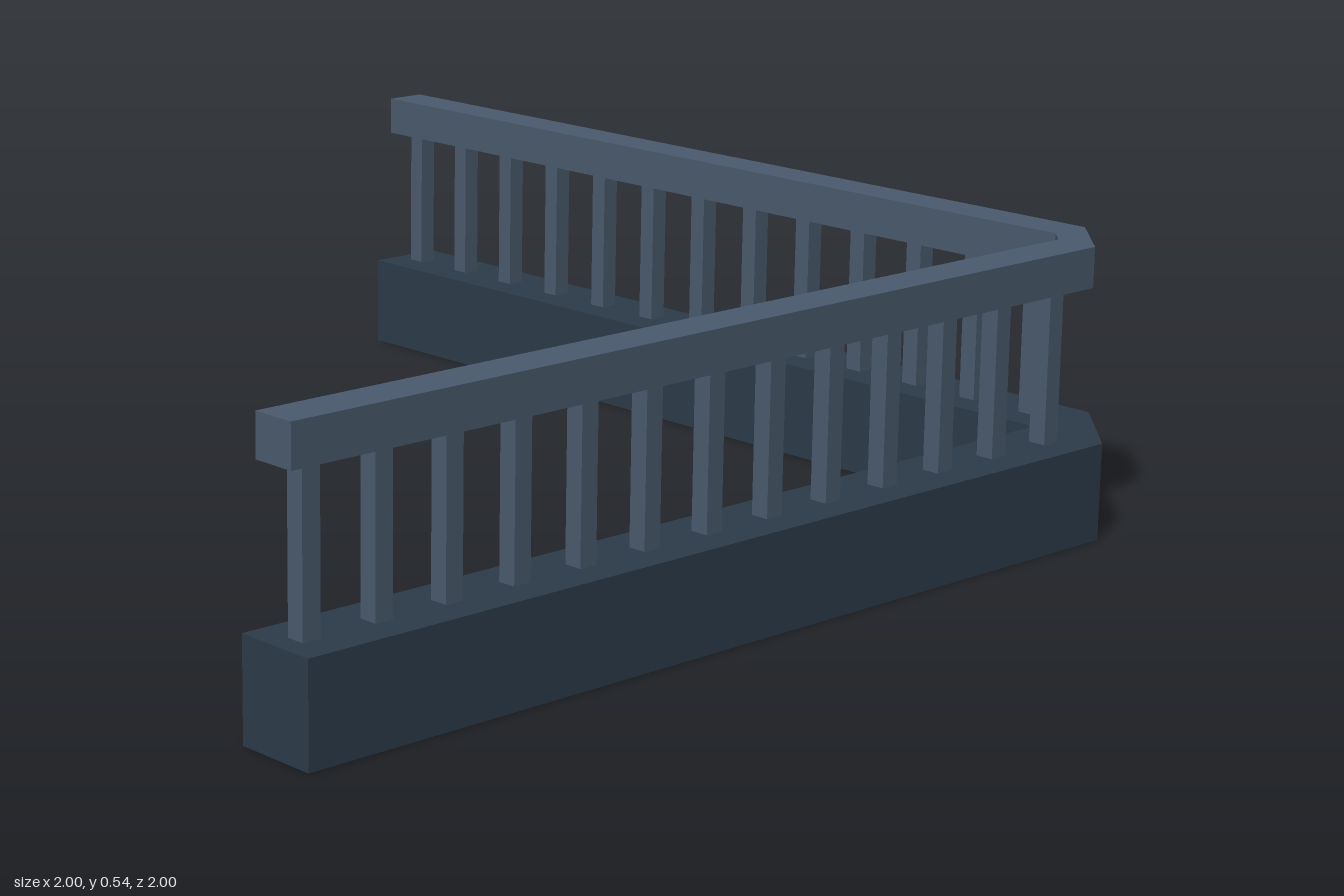
import * as THREE from 'three';

const baseMat = new THREE.MeshStandardMaterial({ color: 0x2c3c4a, flatShading: true });
const railMat = new THREE.MeshStandardMaterial({ color: 0x4a5a6e, flatShading: true });

// Extrudes an (x, z) outline upward from y0 to y1
function slab(name, outline, y0, y1, material) {
  const shape = new THREE.Shape(outline.map(([x, z]) => new THREE.Vector2(x, -z)));
  const geo = new THREE.ExtrudeGeometry(shape, { depth: y1 - y0, bevelEnabled: false });
  geo.rotateX(-Math.PI / 2);
  geo.translate(0, y0, 0);
  const mesh = new THREE.Mesh(geo, material);
  mesh.name = name;
  return mesh;
}

export function createModel() {
  const group = new THREE.Group();
  group.name = 'cornerRailing';
  const c = 0.843; // where the corner chamfer starts

  // Solid plinth: square inner corner, chamfered outer corner
  group.add(slab('base', [
    [-1, 1], [c, 1], [1, c], [1, -1], [c, -1], [c, c], [-1, c],
  ], 0, 0.18, baseMat));

  // Top rail: chamfered inside and outside
  const o = 0.963, i = 0.88;
  group.add(slab('topRail', [
    [-1, o], [c, o], [o, c], [o, -1], [i, -1], [i, c], [c, i], [-1, i],
  ], 0.46, 0.535, railMat));

  // Square balusters, mirrored across the corner diagonal onto both arms
  const count = 13, mid = 0.922;
  const postGeo = new THREE.BoxGeometry(0.035, 0.29, 0.035);
  const posts = new THREE.Group();
  posts.name = 'balusters';
  for (let k = 0; k < count; k++) {
    const t = -0.943 + k * 0.143;
    for (const [x, z, arm] of [[t, mid, 'front'], [mid, t, 'side']]) {
      const post = new THREE.Mesh(postGeo, railMat);
      post.name = `${arm}Baluster${k + 1}`;
      post.position.set(x, 0.32, z);
      posts.add(post);
    }
  }
  group.add(posts);
  return group;
}
